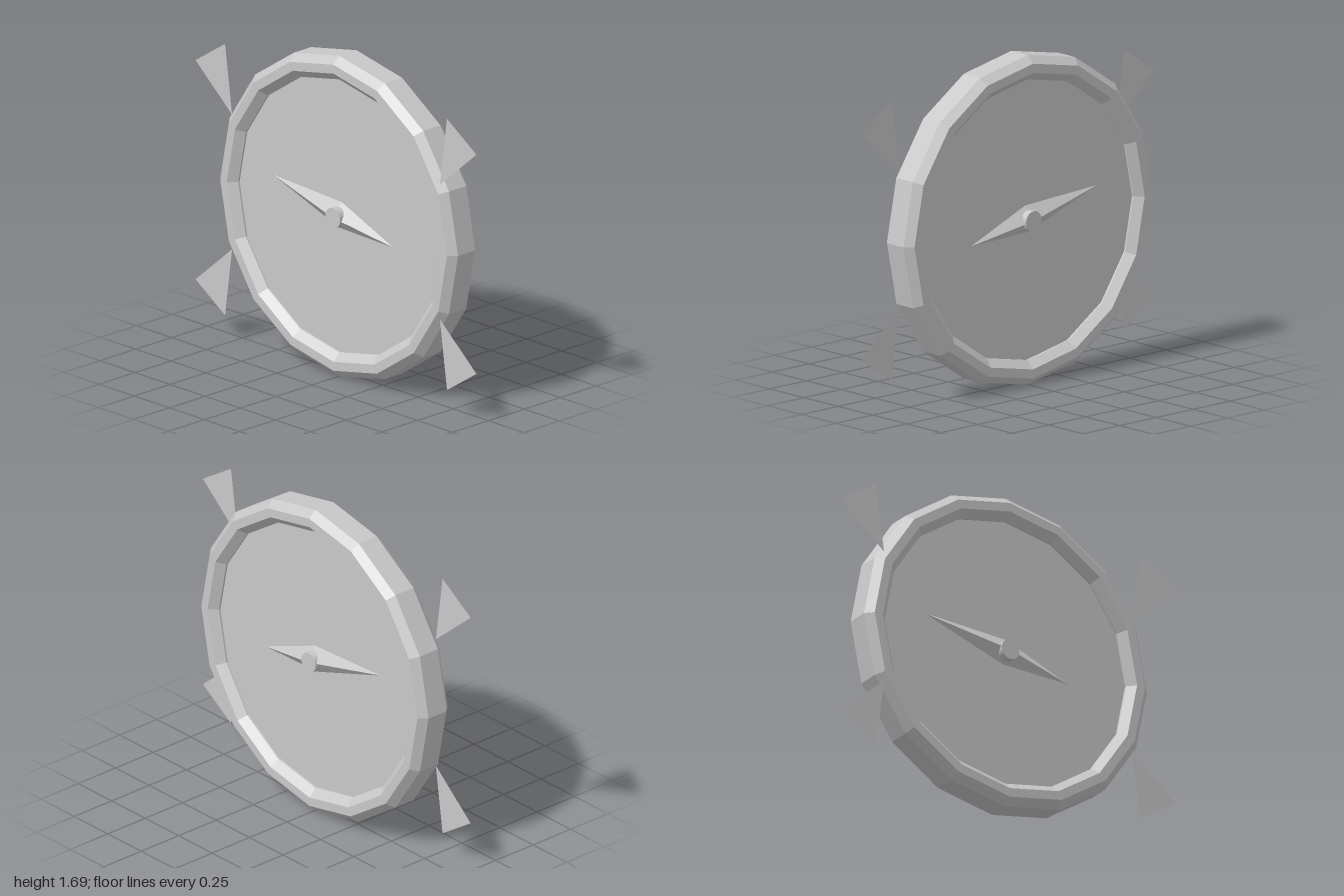
import * as THREE from 'three';

const CY = 0.847; // height of the dial centre

function triangles(points) {
  const g = new THREE.BufferGeometry();
  g.setAttribute('position', new THREE.Float32BufferAttribute(points.flat(), 3));
  g.computeVertexNormals();
  return g;
}

export function createModel() {
  const model = new THREE.Group();
  model.name = 'compass';
  const metal = new THREE.MeshStandardMaterial({ color: 0xc8c8c8, flatShading: true });
  metal.name = 'pale grey';
  const sheet = new THREE.MeshStandardMaterial({ color: 0xc8c8c8, flatShading: true, side: THREE.DoubleSide });
  sheet.name = 'pale grey sheet';

  const add = (name, geometry, material = metal) => {
    const mesh = new THREE.Mesh(geometry, material);
    mesh.name = name;
    mesh.position.y = CY;
    model.add(mesh);
    return mesh;
  };

  // Bevelled sixteen-sided rim with an octagonal section
  const section = [
    [0.845, -0.06], [0.845, 0.06], [0.807, 0.1], [0.76, 0.1],
    [0.72, 0.06], [0.72, -0.06], [0.76, -0.1], [0.807, -0.1], [0.845, -0.06],
  ].map(([r, z]) => new THREE.Vector2(r, z));
  add('rim', new THREE.LatheGeometry(section, 16).rotateX(Math.PI / 2));

  // Dial plate closing the rim on both sides
  add('dial', new THREE.CylinderGeometry(0.725, 0.725, 0.1, 16).rotateX(Math.PI / 2));

  // Ridged needle, one on each face of the dial
  const outline = [[-0.48, 0.097], [-0.01, -0.065], [0.38, -0.075], [0.01, 0.074]];
  for (const side of [1, -1]) {
    const faces = [];
    outline.forEach(([x, y], i) => {
      const [nx, ny] = outline[(i + 1) % 4];
      const a = [x, y, 0.053 * side], b = [nx, ny, 0.053 * side], apex = [0, 0, 0.104 * side];
      faces.push(...(side > 0 ? [a, b, apex] : [b, a, apex]));
    });
    add(side > 0 ? 'frontNeedle' : 'backNeedle', triangles(faces));
  }

  // Pivot pin through the dial
  add('pivot', new THREE.CylinderGeometry(0.053, 0.053, 0.212, 20).rotateX(Math.PI / 2));

  // Four flat corner points
  for (const sx of [1, -1]) {
    for (const sy of [1, -1]) {
      const corners = [[0.74, 0.355], [1, 0.578], [0.79, 0.716]].map(([x, y]) => [x * sx, y * sy, 0.083]);
      if (sx * sy < 0) corners.reverse();
      add((sy > 0 ? 'upper' : 'lower') + (sx > 0 ? 'Left' : 'Right') + 'Point', triangles(corners), sheet);
    }
  }
  return model;
}
